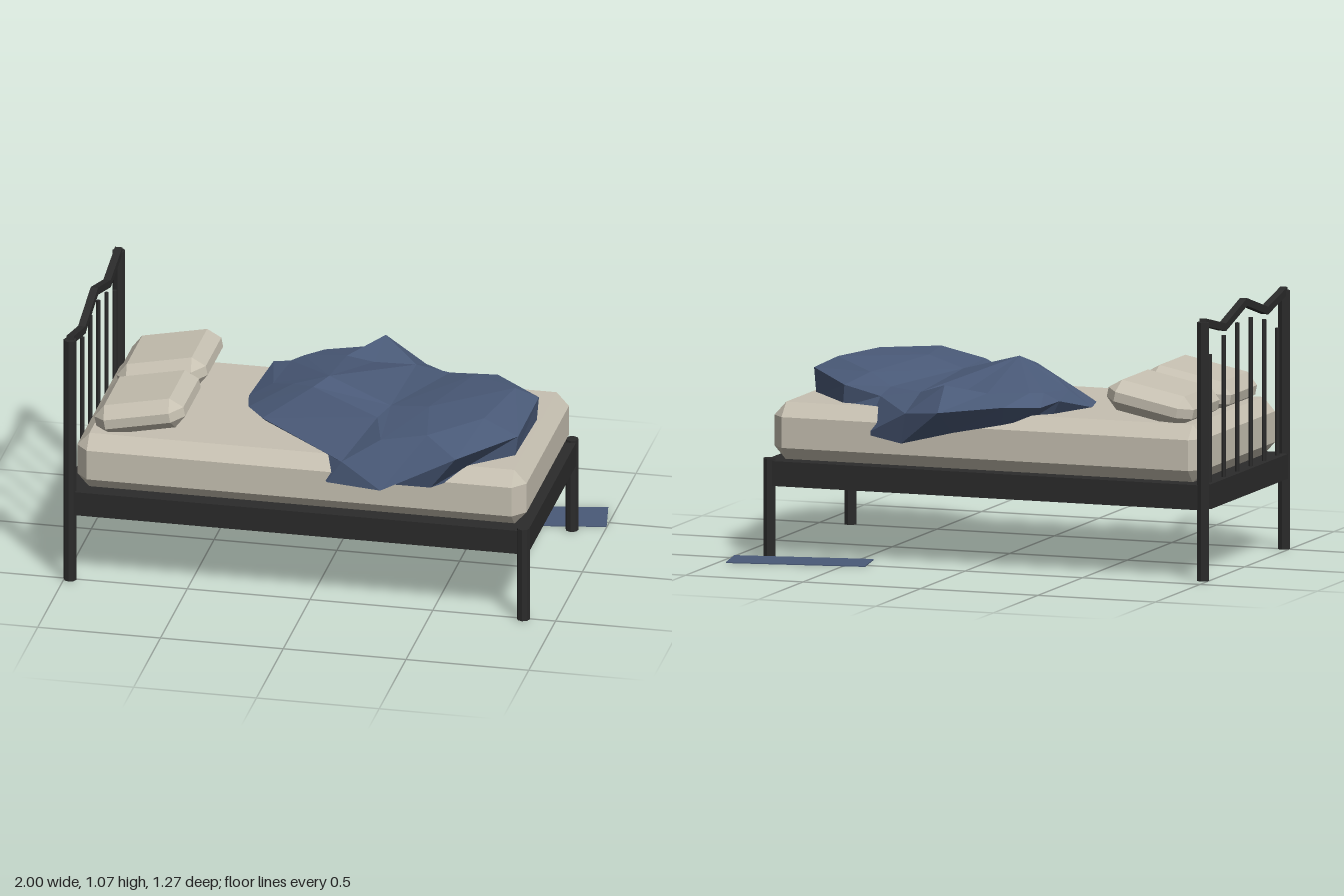
import * as THREE from 'three';
import { ConvexGeometry } from 'three/addons/geometries/ConvexGeometry.js';

const material = (name, color, extra = {}) =>
  Object.assign(new THREE.MeshStandardMaterial({ color, flatShading: true, ...extra }), { name });

// Box with every edge and corner cut off by c = [cx, cy, cz]
function chamferedBox(w, h, d, c) {
  const half = [w / 2, h / 2, d / 2], points = [];
  for (let face = 0; face < 3; face++)
    for (const sx of [-1, 1]) for (const sy of [-1, 1]) for (const sz of [-1, 1]) {
      const s = [sx, sy, sz];
      points.push(new THREE.Vector3(...half.map((v, i) => s[i] * (i === face ? v : v - c[i]))));
    }
  return new ConvexGeometry(points);
}

// Skin between closed rings of [x, y, z] points; shared points collapse to triangles
function loft(rings) {
  const n = rings[0].length, pos = [];
  const tri = (a, b, c) => {
    if (a !== b && b !== c && a !== c) pos.push(...a, ...b, ...c);
  };
  for (let r = 0; r + 1 < rings.length; r++)
    for (let i = 0; i < n; i++) {
      const j = (i + 1) % n;
      const a = rings[r][i], b = rings[r][j], c = rings[r + 1][j], d = rings[r + 1][i];
      tri(a, b, c);
      tri(a, c, d);
    }
  const g = new THREE.BufferGeometry();
  g.setAttribute('position', new THREE.Float32BufferAttribute(pos, 3));
  g.computeVertexNormals();
  return g;
}

export function createModel() {
  const model = new THREE.Group();
  model.name = 'bed';
  const metal = material('dark metal', 0x2b2b2b);
  const linen = material('cream linen', 0xc6c0b1);
  const wool = material('blue cloth', 0x4a5a78, { side: THREE.DoubleSide });

  const add = (name, geometry, mat, x = 0, y = 0, z = 0) => {
    const mesh = new THREE.Mesh(geometry, mat);
    mesh.name = name;
    mesh.position.set(x, y, z);
    model.add(mesh);
    return mesh;
  };
  const post = (name, x, z, y0, y1, r, sides) =>
    add(name, new THREE.CylinderGeometry(r, r, y1 - y0, sides), metal, x, (y0 + y1) / 2, z);

  // Frame: side rails and end rails flush with the outside of the posts
  add('sideFrame', new THREE.BoxGeometry(1.81, 0.1, 0.945), metal, -0.054, 0.336, 0.048);
  add('endFrame', new THREE.BoxGeometry(1.89, 0.1, 0.865), metal, -0.055, 0.336, 0.052);
  for (const z of [-0.402, 0.505]) {
    post('headPost', -0.976, z, 0, 1.04, 0.026, 8);
    post('footPost', 0.87, z, 0, 0.395, 0.026, 8);
  }

  // Headboard spindles and zigzag top rail
  [[0.43, 0.9], [0.28, 0.955], [0.13, 0.985], [-0.022, 0.985], [-0.173, 0.955], [-0.325, 0.9]]
    .forEach(([z, top]) => post('spindle', -0.976, z, 0.33, top, 0.009, 6));
  const rail = [[0.505, 1.04], [0.288, 0.99], [0.052, 1.058], [-0.184, 0.99], [-0.402, 1.04]];
  for (let i = 0; i < 4; i++) {
    const [z0, y0] = rail[i], [z1, y1] = rail[i + 1];
    const bar = add('topRail', new THREE.BoxGeometry(0.03, 0.03, Math.hypot(z1 - z0, y1 - y0) + 0.004),
      metal, -0.976, (y0 + y1) / 2, (z0 + z1) / 2);
    bar.rotation.x = Math.atan2(y1 - y0, z0 - z1);
  }

  // Mattress and tilted pillows
  add('mattress', chamferedBox(1.83, 0.234, 0.9, [0.05, 0.055, 0.055]), linen, -0.045, 0.499, 0.05);
  for (const z of [-0.162, 0.256])
    add('pillow', chamferedBox(0.37, 0.125, 0.4, [0.05, 0.043, 0.055]), linen, -0.715, 0.687, z)
      .rotation.z = 0.2;

  // Crumpled blanket: hanging hem, outer rim, raised folds, a valley, then a ridge line on top
  const hem = [
    [0.06, 0.55, -0.48], [-0.12, 0.58, -0.4], [-0.22, 0.6, -0.33], [-0.28, 0.6, -0.27],
    [-0.34, 0.6, -0.05], [-0.32, 0.6, 0.065], [-0.24, 0.6, 0.17], [0.07, 0.52, 0.508],
    [0.31, 0.54, 0.52], [0.5, 0.55, 0.54], [0.79, 0.6, 0.3], [0.8, 0.6, -0.06],
    [0.6, 0.6, -0.29], [0.47, 0.51, -0.385], [0.28, 0.495, -0.48]];
  const rim = [
    [0.08, 0.645, -0.6], [-0.15, 0.66, -0.465], [-0.265, 0.65, -0.35], [-0.32, 0.67, -0.285],
    [-0.37, 0.615, -0.05], [-0.345, 0.62, 0.065], [-0.265, 0.625, 0.175], [0.13, 0.615, 0.51],
    [0.315, 0.56, 0.635], [0.61, 0.7, 0.585], [0.805, 0.7, 0.305], [0.81, 0.715, -0.06],
    [0.59, 0.69, -0.3], [0.43, 0.655, -0.315], [0.255, 0.62, -0.5]];
  const folds = [
    [0.095, 0.74, -0.48], [-0.035, 0.695, -0.345], [-0.2, 0.7, -0.3], [-0.24, 0.695, -0.25],
    [-0.27, 0.68, -0.05], [-0.17, 0.725, 0.04], [-0.07, 0.755, 0.12], [0.22, 0.705, 0.25],
    [0.28, 0.705, 0.465], [0.47, 0.745, 0.47], [0.66, 0.755, 0.28], [0.72, 0.76, -0.03],
    [0.52, 0.73, -0.19], [0.4, 0.69, -0.28], [0.25, 0.685, -0.34]];
  const valley = folds.map((p, i) => (i === 0 ? [0.08, 0.685, -0.33] : p));
  const peak = [-0.015, 0.787, 0.07], dip = [0.25, 0.712, 0.14], ridge = [0.42, 0.75, 0.2];
  const crest = folds.map((_, i) => (i < 7 ? peak : i < 9 || i > 12 ? dip : ridge));
  const tuck = [0.22, 0.55, 0];
  add('blanket', loft([hem.map(() => tuck), hem, rim, folds, valley, crest]), wool);

  // Rug lying beside the foot of the bed
  add('rug', new THREE.BoxGeometry(0.564, 0.004, 0.188), wool, 0.705, 0.002, -0.497)
    .rotation.y = 0.18;

  return model;
}
